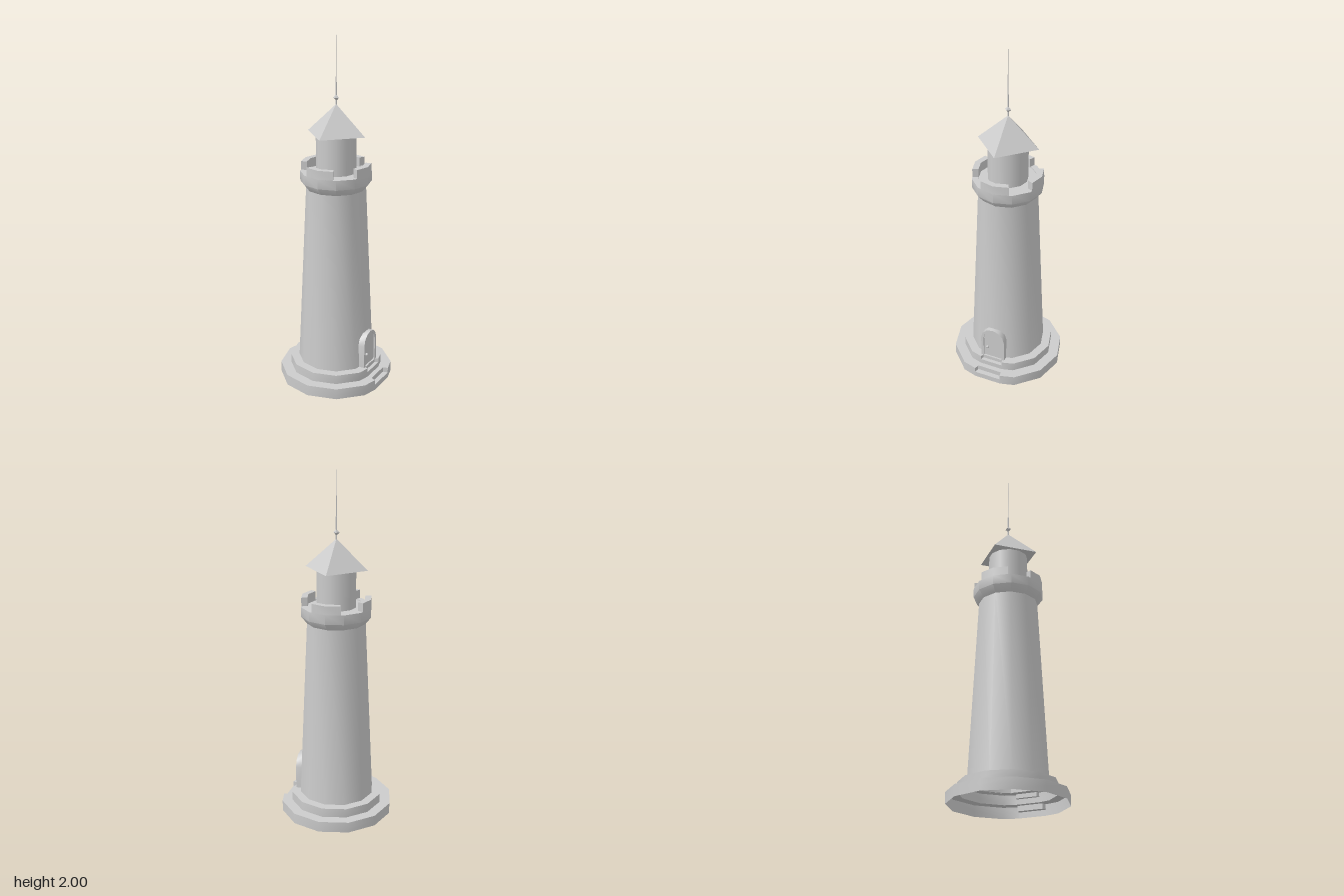
import * as THREE from 'three';
import { toCreasedNormals } from 'three/addons/utils/BufferGeometryUtils.js';

const SIDES = 12;
const mat = new THREE.MeshStandardMaterial({ color: 0xcccccc, side: THREE.DoubleSide });
const flatMat = new THREE.MeshStandardMaterial({ color: 0xcccccc, side: THREE.DoubleSide, flatShading: true });

function add(parent, name, geometry, material = mat) {
  const mesh = new THREE.Mesh(geometry, material);
  mesh.name = name;
  parent.add(mesh);
  return mesh;
}

// Twelve-sided outline whose +x corner is cut off at x = cut, with a recess to x = notch
function section(r, y, cut, notch, half) {
  const pts = [];
  for (let i = 1; i < SIDES; i++) {
    const a = (i * Math.PI * 2) / SIDES;
    pts.push([r * Math.cos(a), y, r * Math.sin(a)]);
  }
  pts.push([cut, y, -half], [notch, y, -half + 0.006], [notch, y, half - 0.006], [cut, y, half]);
  return pts;
}

// Skin over a stack of outlines
function loft(rings) {
  const n = rings[0].length, index = [];
  for (let j = 0; j < rings.length - 1; j++) {
    for (let i = 0; i < n; i++) {
      const a = j * n + i, b = j * n + (i + 1) % n;
      index.push(a, a + n, b, b, a + n, b + n);
    }
  }
  const g = new THREE.BufferGeometry();
  g.setAttribute('position', new THREE.Float32BufferAttribute(rings.flat(2), 3));
  g.setIndex(index);
  return toCreasedNormals(g, 0.7);
}

// Round-topped door outline standing on y = 0
function arch(ShapeType, half, spring) {
  const s = new ShapeType();
  s.moveTo(-half, 0);
  s.lineTo(half, 0);
  for (let i = 0; i <= 6; i++) {
    const a = (i * Math.PI) / 6;
    s.lineTo(half * Math.cos(a), spring + half * Math.sin(a));
  }
  s.closePath();
  return s;
}

export function createModel() {
  const model = new THREE.Group();
  model.name = 'lighthouse';
  const body = new THREE.Group();
  body.name = 'lighthouseBody';
  body.position.x = 0.008;
  model.add(body);

  // Two-tier hollow base with steps recessed below the door
  add(body, 'steppedBase', loft([
    section(0.328, 0, 0.307, 0.307, 0.081),
    section(0.328, 0.033, 0.307, 0.307, 0.081),
    section(0.328, 0.033, 0.307, 0.278, 0.081),
    section(0.328, 0.063, 0.307, 0.278, 0.081),
    section(0.268, 0.063, 0.25, 0.25, 0.068),
    section(0.268, 0.092, 0.25, 0.25, 0.068),
    section(0.268, 0.092, 0.25, 0.229, 0.068),
    section(0.268, 0.116, 0.25, 0.229, 0.068),
    section(0.21, 0.116, 0.205, 0.205, 0.055),
  ]));

  // Tapered tower, flared gallery and deck
  const profile = [
    [0.218, 0.115], [0.168, 1.16], [0.2, 1.2], [0.2, 1.255], [0.165, 1.255], [0.165, 1.25], [0, 1.25],
  ].map(([x, y]) => new THREE.Vector2(x, y));
  add(body, 'tower', toCreasedNormals(new THREE.LatheGeometry(profile, SIDES), 0.7));

  // Four parapet blocks, each bent around a corner of the gallery
  const w = THREE.MathUtils.degToRad(25);
  const edge = Math.cos(Math.PI / 12) / Math.cos(w - Math.PI / 12);
  const outline = [
    [0.2 * edge, -w], [0.2, 0], [0.2 * edge, w], [0.165 * edge, w], [0.165, 0], [0.165 * edge, -w],
  ].map(([r, a]) => new THREE.Vector2(r * Math.cos(a), r * Math.sin(a)));
  const block = new THREE.ExtrudeGeometry(new THREE.Shape(outline), { depth: 0.05, bevelEnabled: false });
  block.rotateX(-Math.PI / 2);
  const blockGeometry = toCreasedNormals(block, 0.7);
  for (let i = 0; i < 4; i++) {
    const m = add(body, 'parapetBlock', blockGeometry);
    m.position.y = 1.254;
    m.rotation.y = (i * Math.PI) / 2;
  }

  // Lantern room and four-sided roof
  add(body, 'lanternRoom', new THREE.CylinderGeometry(0.112, 0.112, 0.22, SIDES)).position.y = 1.358;
  add(body, 'roof', new THREE.ConeGeometry(0.18, 0.165, 4), flatMat).position.y = 1.5475;

  // Finial and rod
  add(body, 'finial', new THREE.OctahedronGeometry(0.018), flatMat).position.y = 1.665;
  add(body, 'finialStem', new THREE.CylinderGeometry(0.004, 0.004, 0.13, 4)).position.y = 1.685;
  add(body, 'rod', new THREE.CylinderGeometry(0.001, 0.003, 0.26, 4)).position.y = 1.87;

  // Arched door facing +x
  const door = new THREE.Group();
  door.name = 'door';
  door.position.set(0, 0.115, 0);
  door.rotation.y = Math.PI / 2;
  body.add(door);
  const frame = arch(THREE.Shape, 0.074, 0.135);
  frame.holes.push(arch(THREE.Path, 0.058, 0.135));
  const solid = (shape, depth) => toCreasedNormals(
    new THREE.ExtrudeGeometry(shape, { depth, bevelEnabled: false }), 0.7);
  add(door, 'doorFrame', solid(frame, 0.04)).position.z = 0.19;
  add(door, 'doorLeaf', solid(arch(THREE.Shape, 0.06, 0.135), 0.03)).position.z = 0.191;
  add(door, 'doorKnob', new THREE.SphereGeometry(0.009, 8, 6)).position.set(-0.035, 0.07, 0.226);

  return model;
}
